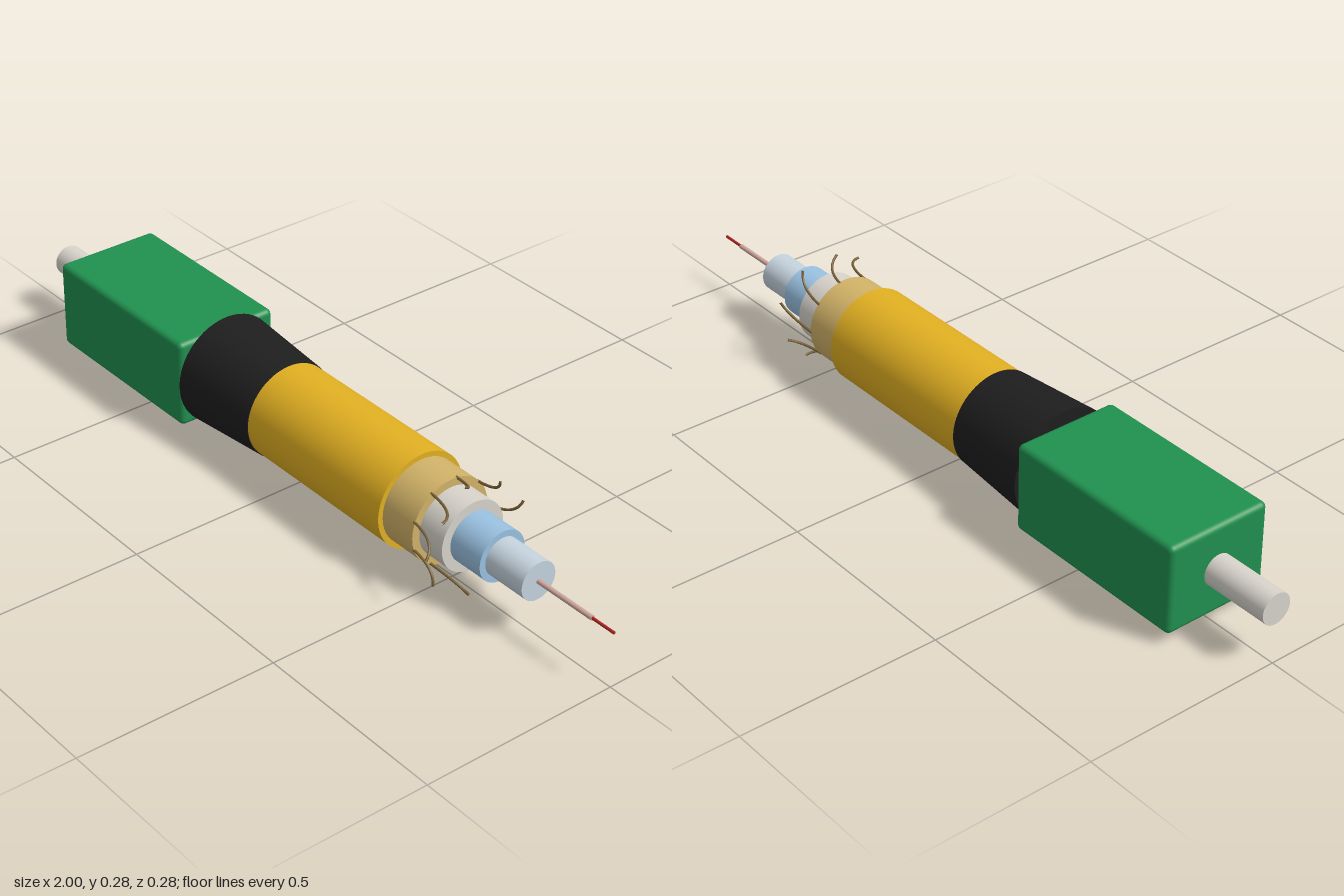
import * as THREE from 'three';
import { RoundedBoxGeometry } from 'three/addons/geometries/RoundedBoxGeometry.js';

const AXIS_Y = 0.142;

function mat(name, color) {
  const m = new THREE.MeshStandardMaterial({ color });
  m.name = name;
  return m;
}

export function createModel() {
  const green = mat('green', 0x20904f);
  const black = mat('black', 0x1e1e1e);
  const yellow = mat('yellow', 0xe2b022);
  const tan = mat('tan', 0xd2b368);
  const offWhite = mat('offWhite', 0xd8d4cc);
  const blue = mat('blue', 0x9ac2e2);
  const paleBlue = mat('paleBlue', 0xc6d4df);
  const pink = mat('pink', 0xd0a8a0);
  const red = mat('red', 0xb02424);
  const strand = mat('strandBrown', 0x7a6238);

  const model = new THREE.Group();
  model.name = 'strippedCable';
  const add = (name, geometry, material, x = 0) => {
    const mesh = new THREE.Mesh(geometry, material);
    mesh.name = name;
    mesh.position.set(x, AXIS_Y, 0);
    model.add(mesh);
  };

  // Rounded housing block
  add('housing', new RoundedBoxGeometry(0.5, 0.226, 0.274, 4, 0.014), green, -0.575);

  // Concentric layers along x: name, start, end, start radius, end radius, material
  const layers = [
    ['rearStub', -1, -0.82, 0.039, 0.039, offWhite],
    ['strainRelief', -0.325, -0.085, 0.141, 0.123, black],
    ['outerJacket', -0.085, 0.385, 0.121, 0.121, yellow],
    ['strengthLayer', 0.385, 0.485, 0.108, 0.108, tan],
    ['innerJacket', 0.485, 0.56, 0.088, 0.088, offWhite],
    ['bufferTube', 0.56, 0.655, 0.064, 0.064, blue],
    ['innerTube', 0.655, 0.77, 0.048, 0.048, paleBlue],
    ['fibreCoating', 0.77, 0.935, 0.006, 0.006, pink],
    ['fibreTip', 0.935, 1, 0.0035, 0.0035, red],
  ];
  for (const [name, x0, x1, r0, r1, material] of layers) {
    const geometry = new THREE.CylinderGeometry(r1, r0, x1 - x0, 64);
    geometry.rotateZ(-Math.PI / 2);
    add(name, geometry, material, (x0 + x1) / 2);
  }

  // Frayed strands hooking outward around the strength layer's end
  const COUNT = 9;
  for (let i = 0; i < COUNT; i++) {
    const a = THREE.MathUtils.degToRad(80 - i * 360 / COUNT);
    const point = (x, r, angle) =>
      new THREE.Vector3(x, r * Math.sin(angle), -r * Math.cos(angle));
    const reach = 0.55 + 0.012 * (i % 3);
    const start = point(0.48, 0.106, a);
    const end = point(reach + 0.004, 0.138, a + 0.36);
    const bend = start.clone().lerp(end, 0.15).setX(reach);
    const curve = new THREE.QuadraticBezierCurve3(start, bend, end);
    add('strand' + (i + 1), new THREE.TubeGeometry(curve, 16, 0.0032, 8), strand);
  }

  return model;
}
